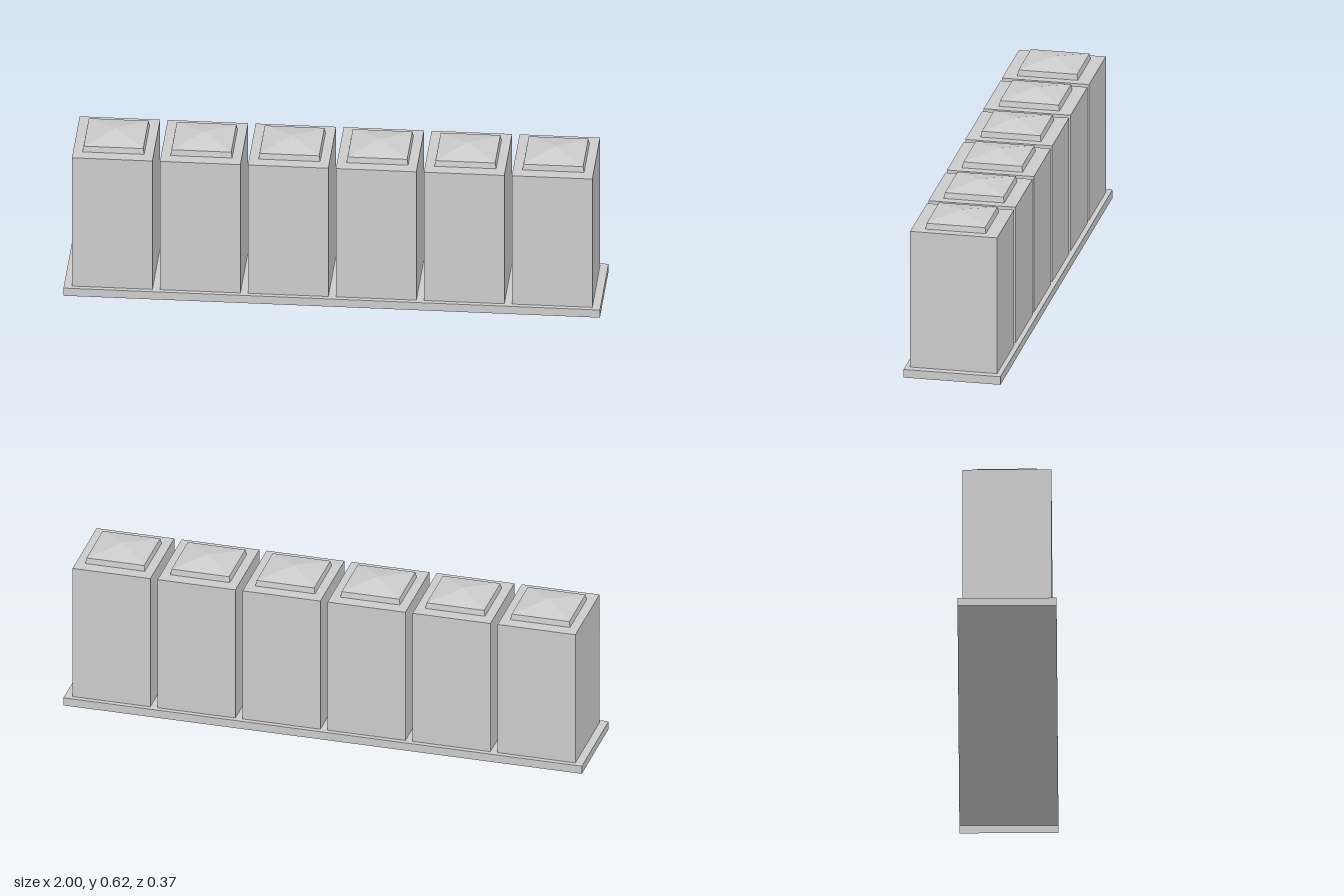
import * as THREE from 'three';

const COUNT = 6, PITCH = 0.328;
const BASE = { w: 2, h: 0.032, d: 0.368 };
const CELL = { w: 0.3, d: 0.33, top: 0.571 };

// Square tapered solid, given as half widths at the bottom and top
function squareTaper(bottom, top, height, openEnded) {
  const g = new THREE.CylinderGeometry(top * Math.SQRT2, bottom * Math.SQRT2, height, 4, 1, openEnded);
  g.rotateY(Math.PI / 4);
  g.translate(0, height / 2, 0);
  const flat = g.toNonIndexed();
  flat.computeVertexNormals();
  return flat;
}

export function createModel() {
  const grey = new THREE.MeshStandardMaterial({ color: 0xcccccc, side: THREE.DoubleSide });
  const model = new THREE.Group();
  model.name = 'cabinetRow';

  const add = (parent, name, geometry, x, y, z) => {
    const mesh = new THREE.Mesh(geometry, grey);
    mesh.name = name;
    mesh.position.set(x, y, z);
    parent.add(mesh);
    return mesh;
  };

  // Plinth: a shallow tray turned upside down, open underneath
  const plinth = new THREE.Group();
  plinth.name = 'plinth';
  model.add(plinth);
  const longSide = new THREE.PlaneGeometry(BASE.w, BASE.h);
  const shortSide = new THREE.PlaneGeometry(BASE.d, BASE.h);
  for (const s of [1, -1]) {
    add(plinth, s > 0 ? 'plinthFront' : 'plinthBack', longSide, 0, BASE.h / 2, s * BASE.d / 2)
      .rotation.y = s > 0 ? 0 : Math.PI;
    add(plinth, s > 0 ? 'plinthLeft' : 'plinthRight', shortSide, s * BASE.w / 2, BASE.h / 2, 0)
      .rotation.y = s * Math.PI / 2;
  }
  add(plinth, 'plinthTop', new THREE.PlaneGeometry(BASE.w, BASE.d), 0, BASE.h, 0)
    .rotation.x = -Math.PI / 2;

  // Row of identical cabinets, each with a tapered collar and a low pyramid lid
  const cellHeight = CELL.top - BASE.h;
  const bodyGeometry = new THREE.BoxGeometry(CELL.w, cellHeight, CELL.d);
  const collarGeometry = squareTaper(0.115, 0.111, 0.022, true);
  const lidGeometry = squareTaper(0.111, 0, 0.023, true);
  for (let i = 0; i < COUNT; i++) {
    const cabinet = new THREE.Group();
    cabinet.name = `cabinet${i + 1}`;
    cabinet.position.x = (i - (COUNT - 1) / 2) * PITCH;
    model.add(cabinet);
    add(cabinet, 'body', bodyGeometry, 0, BASE.h + cellHeight / 2, 0);
    add(cabinet, 'collar', collarGeometry, 0, CELL.top, 0);
    add(cabinet, 'lid', lidGeometry, 0, CELL.top + 0.022, 0);
  }
  return model;
}
